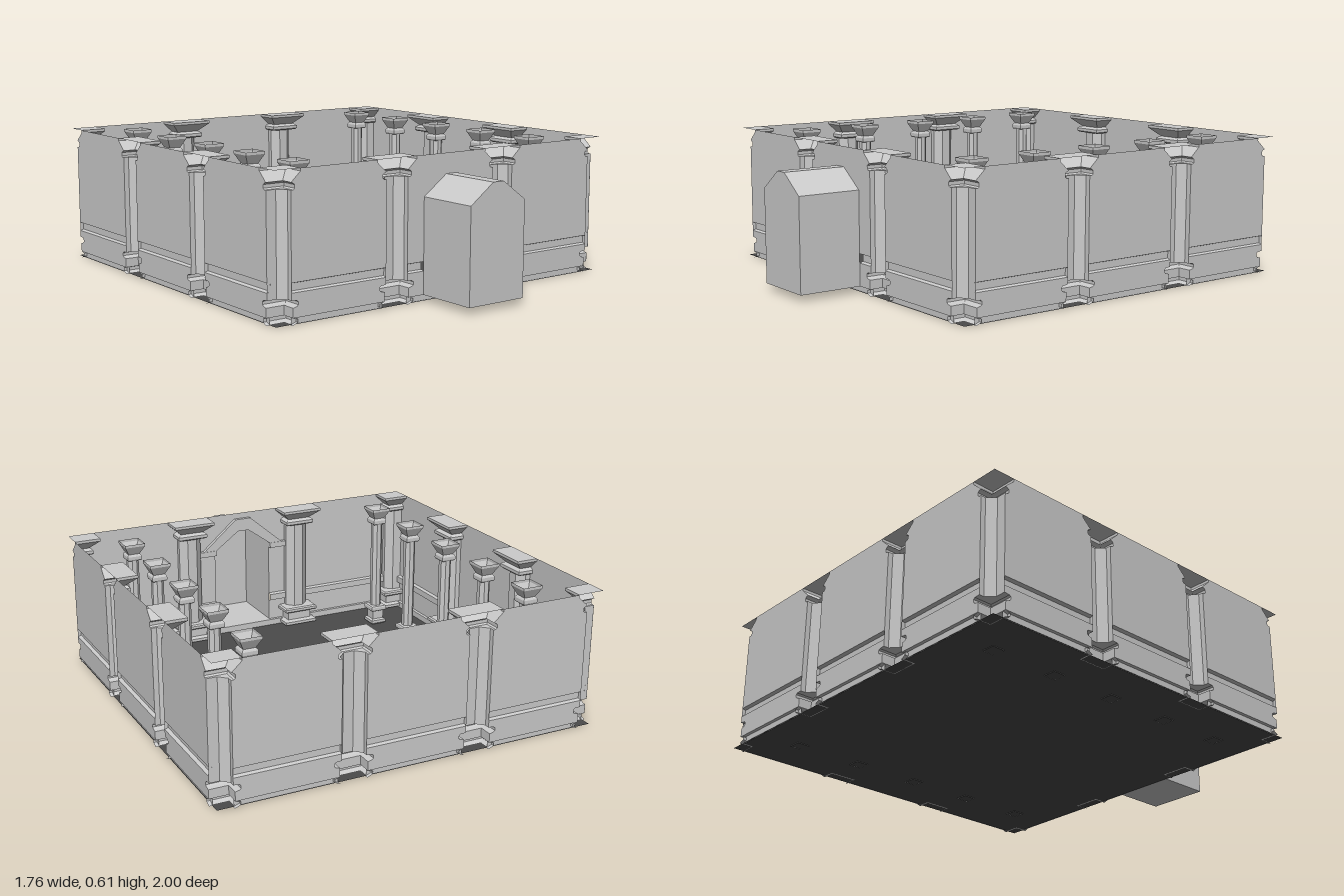
import * as THREE from 'three';

const grey = new THREE.MeshStandardMaterial({ color: 0xcccccc, flatShading: true, side: THREE.DoubleSide });
const dark = new THREE.MeshStandardMaterial({ color: 0x4b4b4b, flatShading: true, side: THREE.DoubleSide });

const TOP = 0.612, CORNER = 0.858, INNER = 0.286, HALF = 0.88, MID_Z = -0.1425;

// Column profile: height, half width, corner ratio (1 = square, 0.414 = octagon)
const OCT = 0.414;
const base = [
  [0, 0.06, 1], [0.01, 0.085, 1], [0.024, 0.085, 1], [0.03, 0.062, 1], [0.07, 0.062, 1],
  [0.074, 0.08, 1], [0.08, 0.087, 1], [0.092, 0.087, 1], [0.098, 0.08, 1], [0.1, 0.055, OCT],
];
const capital = [
  [0.53, 0.055, OCT], [0.53, 0.066, 1], [0.536, 0.073, 1], [0.55, 0.073, 1],
  [0.556, 0.066, 1], [0.56, 0.056, 1], [0.6, 0.1, 1], [TOP, 0.1, 1],
];
const profile = [...base, ...capital];

function add(parent, name, geometry, material = grey) {
  const mesh = new THREE.Mesh(geometry, material);
  mesh.name = name;
  parent.add(mesh);
  return mesh;
}

// Skin between successive rows of [x, y, z] points
function loft(rows) {
  const pos = [];
  for (let i = 0; i < rows.length - 1; i++) {
    for (let j = 0; j < rows[i].length - 1; j++) {
      const a = rows[i][j], b = rows[i][j + 1], c = rows[i + 1][j + 1], d = rows[i + 1][j];
      pos.push(...a, ...b, ...c, ...a, ...c, ...d);
    }
  }
  const g = new THREE.BufferGeometry();
  g.setAttribute('position', new THREE.Float32BufferAttribute(pos, 3));
  g.computeVertexNormals();
  return g;
}

function shapeOf(points) {
  return new THREE.Shape(points.map(([x, y]) => new THREE.Vector2(x, y)));
}

// Plan outlines of the three column kinds
const halfPlan = (h, k) => [[-h, 0], [-h, k * h], [-k * h, h], [k * h, h], [h, k * h], [h, 0]];
const cornerPlan = (h, k) => [[-h, 0], [-h, k * h], [-k * h, h], [HALF - CORNER, h]];
const fullPlan = (h, k) => [
  ...halfPlan(h, k), [h, -k * h], [k * h, -h], [-k * h, -h], [-h, -k * h], [-h, 0],
];

function columnGeometry(plan, capped, scale = 1) {
  const rows = profile.map(([y, h, k]) => plan(h * scale, k).map(([x, z]) => [x, y, z]));
  if (capped) rows.push(rows[rows.length - 1].map(([x, y]) => [x, y, 0]));
  return loft(rows);
}

// Doorway outline from its right foot over the ridge to its left foot
const doorHead = [[0.145, 0.44], [0.028, 0.525], [-0.028, 0.525], [-0.145, 0.44]];

// Horizontal strip following a [height, depth] section
function strip(parent, name, x0, x1, section) {
  add(parent, name, loft(section.map(([y, d]) => [[x0, y, d], [x1, y, d]])));
}

// Wall bay between two columns, cut to their outline
function bay(wall, a, b, door) {
  const upper = [[0.17, 0.055], ...capital];
  const lower = [[0.03, 0.062], ...base.slice(4), [0.13, 0.055]];
  const leftEdge = (p) => p.map(([y, h]) => [a + h, y]);
  const rightEdge = (p) => p.map(([y, h]) => [b - h, y]).reverse();
  const notch = door ? [[0.145, 0.17], ...doorHead, [-0.145, 0.17]] : [];
  const ledge = [[0.17, 0], [0.165, 0.016], [0.135, 0.016], [0.13, 0]];

  add(wall, 'upperWall', new THREE.ShapeGeometry(shapeOf([...leftEdge(upper), ...rightEdge(upper), ...notch])));
  if (door) {
    add(wall, 'lowerWall', new THREE.ShapeGeometry(shapeOf([...leftEdge(lower), [-0.145, 0.13], [-0.145, 0.03]])));
    add(wall, 'lowerWall', new THREE.ShapeGeometry(shapeOf([[0.145, 0.03], [0.145, 0.13], ...rightEdge(lower)])));
    strip(wall, 'wallMoulding', a + 0.055, -0.145, ledge);
    strip(wall, 'wallMoulding', 0.145, b - 0.055, ledge);
  } else {
    add(wall, 'lowerWall', new THREE.ShapeGeometry(shapeOf([...leftEdge(lower), ...rightEdge(lower)])));
    strip(wall, 'wallMoulding', a + 0.055, b - 0.055, ledge);
  }
  strip(wall, 'skirting', a + 0.062, b - 0.062, [[0.03, 0], [0.03, 0.016], [0, 0.016]]);
}

// One wall; its local +z points into the room
function makeWall(name, x, z, turn, corners, door) {
  const wall = new THREE.Group();
  wall.name = name;
  wall.position.set(x, 0, z);
  wall.rotation.y = turn;
  const stops = [-CORNER, -INNER, INNER, CORNER];
  for (let i = 0; i < 3; i++) bay(wall, stops[i], stops[i + 1], door && i === 1);
  for (const s of [-1, 1]) {
    add(wall, 'pilaster', columnGeometry(halfPlan, true)).position.x = s * INNER;
    if (corners) {
      const plan = (h, k) => cornerPlan(h, k).map(([px, pz]) => [s * px, pz]);
      add(wall, 'cornerPilaster', columnGeometry(plan, true)).position.x = s * CORNER;
    }
  }
  return wall;
}

export function createModel() {
  const model = new THREE.Group();
  model.name = 'columnHall';

  // Floor
  const floor = add(model, 'floor', new THREE.PlaneGeometry(1.735, 1.69), dark);
  floor.rotation.x = -Math.PI / 2;
  floor.position.set(0, 0.002, MID_Z);

  // Walls
  const front = makeWall('frontWall', 0, 0.715, Math.PI, true, true);
  model.add(
    front,
    makeWall('backWall', 0, -1, 0, true, false),
    makeWall('rightWall', -HALF, MID_Z, Math.PI / 2, false, false),
    makeWall('leftWall', HALF, MID_Z, -Math.PI / 2, false, false),
  );

  // Gabled door surround on the inside of the front wall
  const gable = shapeOf([
    [-0.21, 0.44], [-0.04, 0.585], [0.04, 0.585], [0.21, 0.44], ...doorHead,
  ]);
  add(front, 'doorGable', new THREE.ExtrudeGeometry(gable, { depth: 0.018, bevelEnabled: false })).position.z = 0.001;
  for (const s of [-1, 1]) {
    add(front, 'doorLedge', new THREE.BoxGeometry(0.085, 0.026, 0.02)).position.set(s * 0.1875, 0.428, 0.011);
  }

  // Hollow porch behind the doorway
  const porch = [[0.145, 0.03], ...doorHead, [-0.145, 0.03]];
  const ring = (z) => [...porch, porch[0]].map(([x, y]) => [x, y, z]);
  add(model, 'porchShell', loft([ring(0.715), ring(1)]));
  add(model, 'porchEnd', new THREE.ShapeGeometry(shapeOf(porch))).position.z = 1;

  // Two rows of slender hollow columns
  const slender = columnGeometry(fullPlan, false, 0.47);
  for (const s of [-1, 1]) {
    for (let i = 0; i < 5; i++) {
      add(model, 'innerColumn', slender).position.set(s * 0.645, 0, MID_Z + (i - 2) * 0.3225);
    }
  }
  return model;
}
